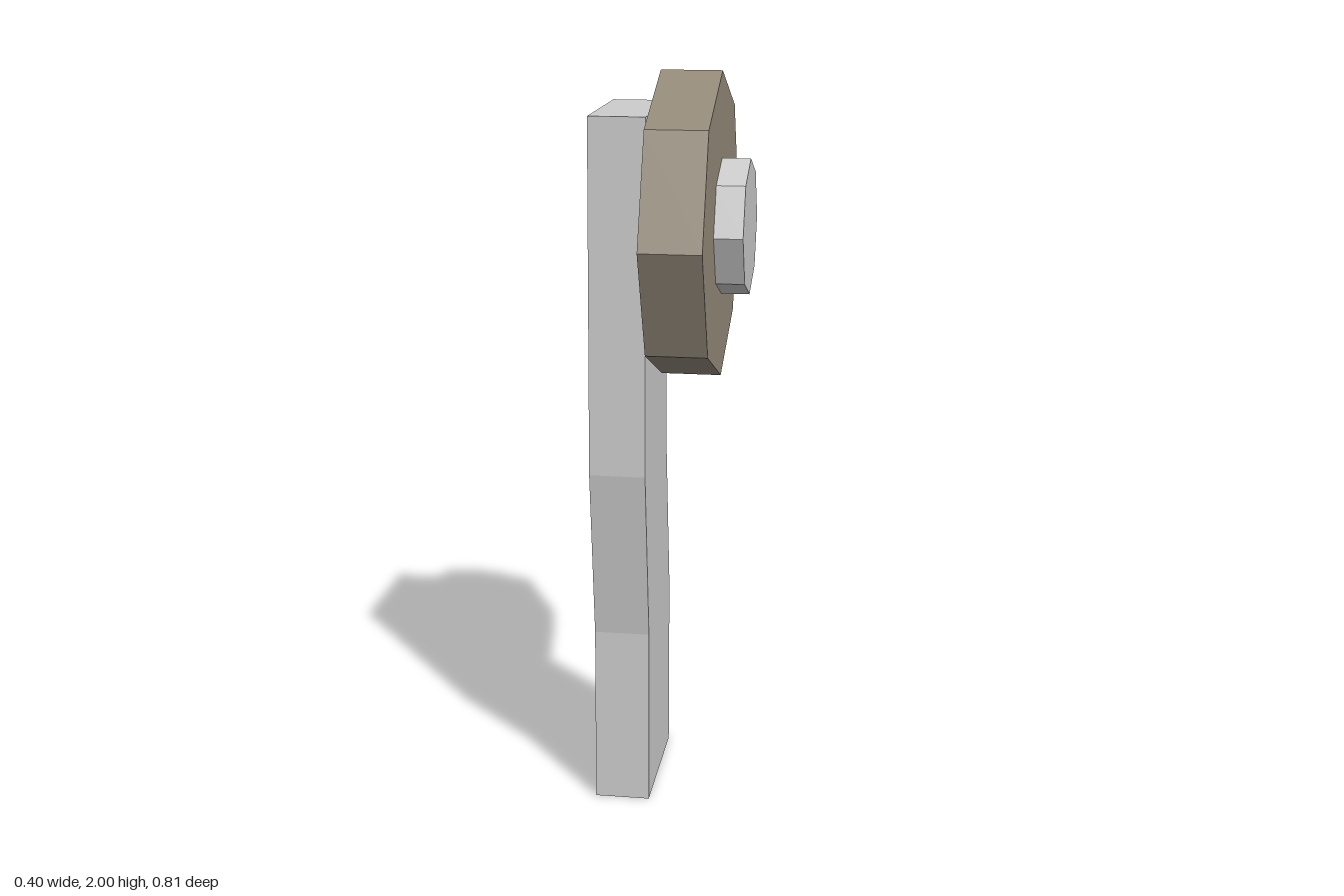
import * as THREE from 'three';

const paleGrey = new THREE.MeshStandardMaterial({ name: 'paleGrey', color: 0xcccccc, flatShading: true, side: THREE.DoubleSide });
const taupe = new THREE.MeshStandardMaterial({ name: 'taupe', color: 0x948a7a, flatShading: true });

// Octagonal disc lying along x, with a corner pointing up
function octagon(name, radius, x0, x1, material) {
  const geometry = new THREE.CylinderGeometry(radius, radius, x1 - x0, 8);
  geometry.rotateZ(-Math.PI / 2);
  const mesh = new THREE.Mesh(geometry, material);
  mesh.name = name;
  mesh.position.set((x0 + x1) / 2, 1.593, 0);
  return mesh;
}

// Wavy post from rectangular cross-sections, closed on top and open below
function post() {
  const rings = [[0, 0.195, -0.194], [0.49, 0.178, -0.212], [0.96, 0.232, -0.155], [1.9, 0.193, -0.195]];
  const positions = [];
  const indices = [];
  for (const [y, front, back] of rings) {
    positions.push(-0.2, y, front, -0.05, y, front, -0.05, y, back, -0.2, y, back);
  }
  for (let r = 0; r < rings.length - 1; r++) {
    for (let i = 0; i < 4; i++) {
      const a = r * 4 + i;
      const b = r * 4 + (i + 1) % 4;
      indices.push(a, b, b + 4, a, b + 4, a + 4);
    }
  }
  const t = (rings.length - 1) * 4;
  indices.push(t, t + 1, t + 2, t, t + 2, t + 3);
  const indexed = new THREE.BufferGeometry();
  indexed.setAttribute('position', new THREE.Float32BufferAttribute(positions, 3));
  indexed.setIndex(indices);
  const geometry = indexed.toNonIndexed();
  geometry.computeVertexNormals();
  const mesh = new THREE.Mesh(geometry, paleGrey);
  mesh.name = 'post';
  return mesh;
}

export function createModel() {
  const group = new THREE.Group();
  group.name = 'discOnPost';
  group.add(
    post(),
    octagon('disc', 0.407, -0.04, 0.122, taupe),
    octagon('hub', 0.181, 0.122, 0.198, paleGrey),
  );
  return group;
}
